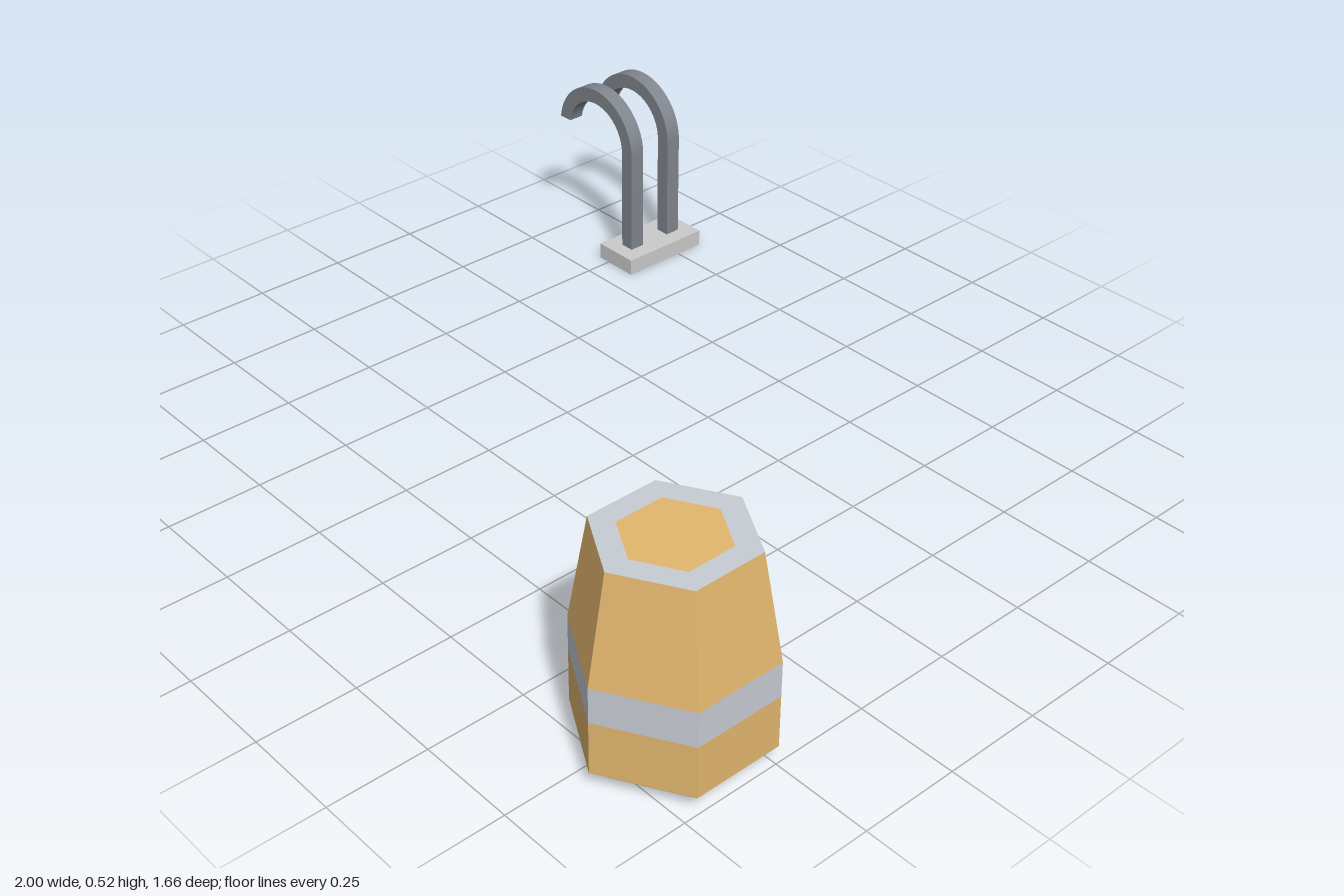
import * as THREE from 'three';
import { toCreasedNormals } from 'three/addons/utils/BufferGeometryUtils.js';

const paint = (color, flatShading = false) => new THREE.MeshStandardMaterial({ color, flatShading });

function addMesh(parent, name, geometry, material, x = 0, y = 0, z = 0) {
  const mesh = new THREE.Mesh(geometry, material);
  mesh.name = name;
  mesh.position.set(x, y, z);
  parent.add(mesh);
  return mesh;
}

// Six-sided surface from [radius, height] pairs running up the outside
const hexLathe = (...points) =>
  new THREE.LatheGeometry(points.map(([r, y]) => new THREE.Vector2(r, y)), 6);

function createBarrel() {
  const barrel = new THREE.Group();
  barrel.name = 'barrel';
  const wood = paint(0xe3b76e, true);
  const trim = paint(0xc8ccd4, true);
  const dark = paint(0x80868e, true);

  addMesh(barrel, 'barrelFoot', hexLathe([0, 0], [0.173, 0], [0.173, 0.045]), dark);
  addMesh(barrel, 'lowerBody', hexLathe([0.173, 0.045], [0.224, 0.045], [0.224, 0.177]), wood);
  addMesh(barrel, 'band', hexLathe([0.224, 0.177], [0.224, 0.265]), trim);
  addMesh(barrel, 'upperBody', hexLathe([0.224, 0.265], [0.179, 0.525]), wood);
  addMesh(barrel, 'topRim', hexLathe([0.179, 0.525], [0.12, 0.525]), trim);
  addMesh(barrel, 'topPanel', hexLathe([0.12, 0.525], [0, 0.525]), wood);
  return barrel;
}

// Square-section pipe: upright post bending over into a hook with a level tip
function hookGeometry() {
  const outer = 0.15, inner = 0.11, width = 0.042, bendY = 0.33, tipY = 0.35;
  const tipAngle = (r) => Math.PI - Math.asin((tipY - bendY) / r);
  const shape = new THREE.Shape();
  shape.moveTo(inner, 0.04);
  shape.lineTo(outer, 0.04);
  shape.lineTo(outer, bendY);
  shape.absarc(0, bendY, outer, 0, tipAngle(outer), false);
  shape.absarc(0, bendY, inner, tipAngle(inner), 0, true);
  shape.closePath();
  const geometry = new THREE.ExtrudeGeometry(shape, { depth: width, bevelEnabled: false, curveSegments: 20 });
  geometry.translate(0, 0, -width / 2);
  return toCreasedNormals(geometry, 0.6);
}

function createTap() {
  const tap = new THREE.Group();
  tap.name = 'doubleHookStand';
  addMesh(tap, 'basePlate', new THREE.BoxGeometry(0.13, 0.045, 0.258), paint(0xcccccc), 0.13, 0.0225, 0);
  const geometry = hookGeometry();
  const metal = paint(0x80868e);
  for (const [name, side] of [['frontHook', 1], ['backHook', -1]]) {
    addMesh(tap, name, geometry, metal, 0, 0, side * 0.066);
  }
  return tap;
}

export function createModel() {
  const model = new THREE.Group();
  model.name = 'barrelAndHooks';

  const barrel = createBarrel();
  barrel.position.set(0.806, 0, 0.606);
  model.add(barrel);

  const tap = createTap();
  tap.position.set(-0.85, 0, -0.701);
  model.add(tap);

  return model;
}
